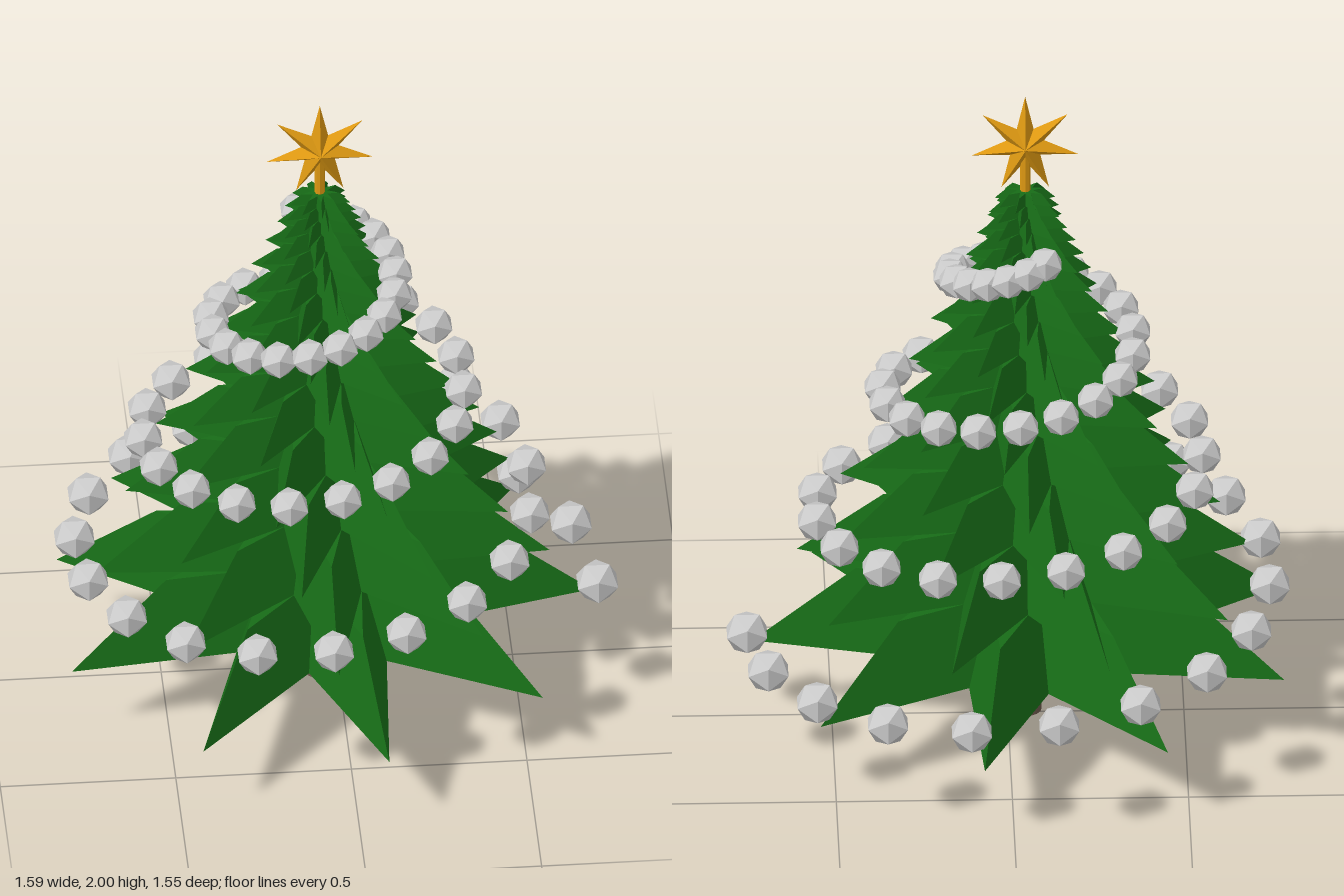
import * as THREE from 'three';

const CX = -0.05, CZ = 0.02; // tree axis

const flat = (color) => new THREE.MeshStandardMaterial({ color, flatShading: true });

function add(parent, name, geometry, material, y = 0) {
  const mesh = new THREE.Mesh(geometry, material);
  mesh.name = name;
  mesh.position.y = y;
  parent.add(mesh);
  return mesh;
}

// Nine-pointed tapering tier: a cylinder with every second corner pulled in
function tierGeometry(radius, height) {
  const g = new THREE.CylinderGeometry(radius * 0.62, radius, height, 18, 1, false, Math.PI / 2);
  const p = g.attributes.position;
  for (let i = 0; i < p.count; i++) {
    const k = Math.round(Math.abs(Math.atan2(p.getZ(i), p.getX(i))) / (Math.PI / 9));
    if (k % 2) p.setXYZ(i, p.getX(i) * 0.43, p.getY(i), p.getZ(i) * 0.43);
  }
  g.translate(0, height / 2, 0);
  g.computeVertexNormals();
  return g;
}

// Faceted star: outline in the xy plane, raised to a point in front and behind
function starGeometry(points, outer, inner, depth) {
  const corner = (i) => {
    const r = i % 2 ? inner : outer, a = Math.PI / 2 + (i * Math.PI) / points;
    return [r * Math.cos(a), r * Math.sin(a), 0];
  };
  const v = [];
  for (let i = 0; i < points * 2; i++) {
    const a = corner(i), b = corner(i + 1);
    v.push(...a, ...b, 0, 0, depth, ...b, ...a, 0, 0, -depth);
  }
  const g = new THREE.BufferGeometry();
  g.setAttribute('position', new THREE.Float32BufferAttribute(v, 3));
  g.computeVertexNormals();
  return g;
}

export function createModel() {
  const tree = new THREE.Group();
  tree.name = 'christmasTree';
  tree.position.set(CX, 0, CZ);

  // Trunk
  add(tree, 'trunk', new THREE.CylinderGeometry(0.047, 0.047, 0.4, 16),
    new THREE.MeshStandardMaterial({ color: 0x6b574b }), 0.2);

  // Branch tiers, each smaller, shorter and turned a little further
  const green = flat(0x176c17);
  const branches = new THREE.Group();
  branches.name = 'branches';
  tree.add(branches);
  let y = 0.233, height = 0.233, radius = 0.775;
  for (let i = 0; i < 14; i++) {
    const tier = add(branches, 'branchTier', tierGeometry(radius, height), green, y);
    tier.rotation.y = -i * Math.PI / 18;
    y += height;
    height *= 0.86;
    radius *= 0.845;
  }

  // Star on its post
  const gold = flat(0xe09a12);
  add(tree, 'starPost', new THREE.CylinderGeometry(0.015, 0.015, 0.16, 8), gold, 1.76);
  add(tree, 'star', starGeometry(7, 0.155, 0.055, 0.04), gold, 1.845);

  // Garland of faceted beads winding up and inwards
  const grey = flat(0xcccccc);
  const bead = new THREE.IcosahedronGeometry(1, 0);
  const garland = new THREE.Group();
  garland.name = 'garland';
  tree.add(garland);
  for (let i = 0; i < 63; i++) {
    const a = i * THREE.MathUtils.degToRad(19.2), r = 0.79 - 0.0103 * i;
    const mesh = add(garland, 'bead', bead, grey);
    mesh.position.set(r * Math.cos(a), 0.26 + 0.0205 * i, -r * Math.sin(a));
    mesh.scale.setScalar(0.067 - 0.0002 * i);
  }

  const model = new THREE.Group();
  model.name = 'model';
  model.add(tree);
  return model;
}
